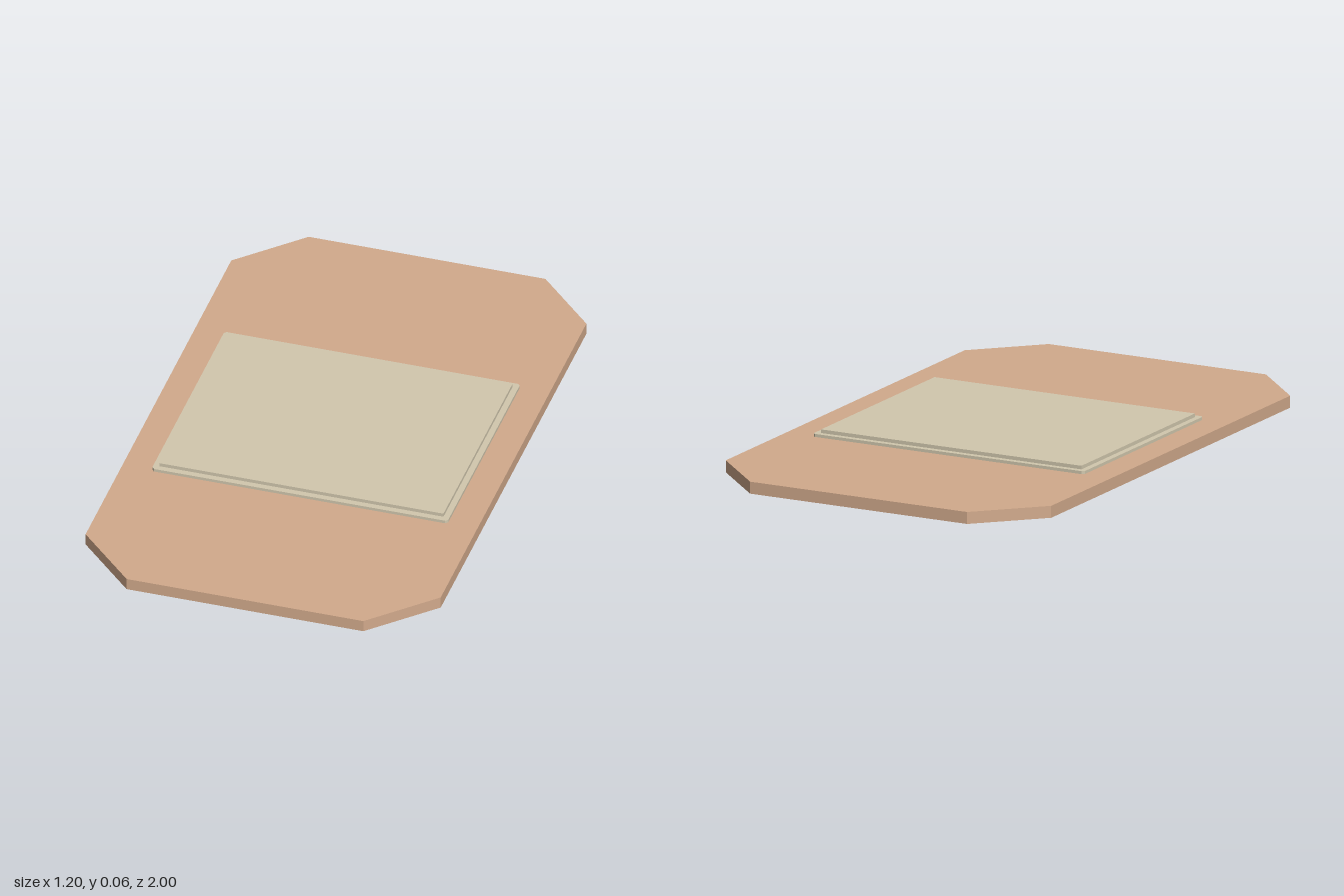
import * as THREE from 'three';

// Horizontal slab with cut corners, from y to y + height
function slab(name, width, depth, cut, y, height, material) {
  const x = width / 2, z = depth / 2;
  const shape = new THREE.Shape([
    [x - cut, -z], [x, cut - z], [x, z - cut], [x - cut, z],
    [cut - x, z], [-x, z - cut], [-x, cut - z], [cut - x, -z],
  ].map(([a, b]) => new THREE.Vector2(a, b)));
  const geometry = new THREE.ExtrudeGeometry(shape, { depth: height, bevelEnabled: false });
  geometry.rotateX(-Math.PI / 2).translate(0, y, 0);
  const mesh = new THREE.Mesh(geometry, material);
  mesh.name = name;
  return mesh;
}

export function createModel() {
  const tan = new THREE.MeshStandardMaterial({ name: 'tan', color: 0xd2aa8c });
  const beige = new THREE.MeshStandardMaterial({ name: 'beige', color: 0xd2c8ae });
  const group = new THREE.Group();
  group.name = 'steppedPlatform';

  // Octagonal base
  group.add(slab('base', 1.2, 2, 0.2, 0, 0.04, tan));

  // Lower panel, with its corners just nipped off
  group.add(slab('lowerPanel', 1, 0.8, 0.008, 0.04, 0.01, beige));

  // Inset upper panel
  const upper = new THREE.Mesh(new THREE.BoxGeometry(0.96, 0.012, 0.76), beige);
  upper.name = 'upperPanel';
  upper.position.y = 0.056;
  group.add(upper);

  return group;
}
